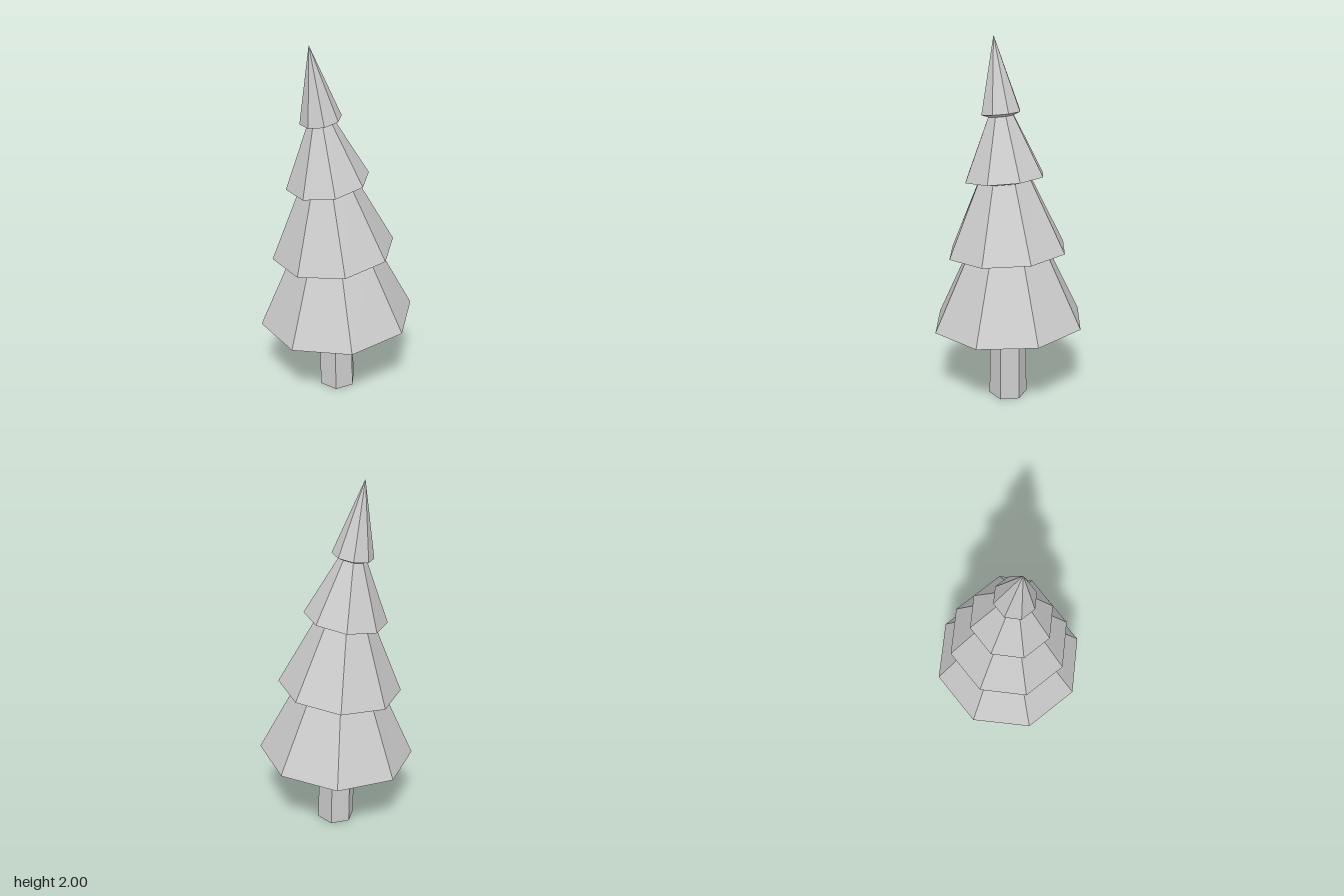
import * as THREE from 'three';

// A tilted ring: centre (x, y, z), radius r, and its slope in y along x and z.
function ringPoint([x, y, z, r, sx, sz], i, sides) {
  const a = (i / sides) * Math.PI * 2;
  const dx = r * Math.cos(a), dz = r * Math.sin(a);
  return [x + dx, y + sx * dx + sz * dz, z + dz];
}

// Joins successive rings with faces; a ring of radius 0 closes to a point.
function loft(rings, sides) {
  const pos = [];
  for (let k = 0; k < rings.length - 1; k++) {
    const [lo, hi] = [rings[k], rings[k + 1]];
    for (let i = 0; i < sides; i++) {
      const a0 = ringPoint(lo, i, sides), a1 = ringPoint(lo, i + 1, sides);
      const b0 = ringPoint(hi, i, sides), b1 = ringPoint(hi, i + 1, sides);
      if (lo[3] > 0) pos.push(...a0, ...b0, ...a1);
      if (hi[3] > 0) pos.push(...a1, ...b0, ...b1);
    }
  }
  const geometry = new THREE.BufferGeometry();
  geometry.setAttribute('position', new THREE.Float32BufferAttribute(pos, 3));
  geometry.computeVertexNormals();
  return geometry;
}

export function createModel() {
  const group = new THREE.Group();
  group.name = 'pineTree';
  const material = new THREE.MeshStandardMaterial({
    color: 0xcccccc, flatShading: true, side: THREE.DoubleSide,
  });
  const add = (name, rings, sides) => {
    const mesh = new THREE.Mesh(loft(rings, sides), material);
    mesh.name = name;
    group.add(mesh);
  };

  // Six-sided trunk, open at the foot
  add('trunk', [
    [0.004, 0, 0, 0.105, 0, 0],
    [-0.003, 0.445, 0.003, 0.1, 0.03, -0.045],
  ], 6);

  // Lower rim of each foliage tier, then the tip; the tree leans as it rises
  const rims = [
    [0, 0.444, 0, 0.424, 0.03, -0.048],
    [-0.015, 0.852, 0.012, 0.332, 0.053, -0.083],
    [-0.034, 1.257, 0.037, 0.221, 0.08, -0.125],
    [-0.055, 1.602, 0.066, 0.109, 0.09, -0.14],
    [-0.085, 2.0, 0.12, 0, 0, 0],
  ];
  // Radius of the neck where each tier tucks under the next
  const necks = [0.236, 0.151, 0.071, 0];

  necks.forEach((neck, i) => {
    const [x, y, z, r, sx, sz] = rims[i];
    const [nx, ny, nz, , nsx, nsz] = rims[i + 1];
    const inner = i ? necks[i - 1] : 0;
    const drop = i ? 0.016 : 0;
    add(`foliageTier${i + 1}`, [
      [x, y - drop, z, inner, sx, sz], // underside
      [x, y, z, r, sx, sz], // rim
      [nx, neck ? ny - 0.016 : ny, nz, neck, nsx, nsz], // neck or tip
    ], 8);
  });

  return group;
}
